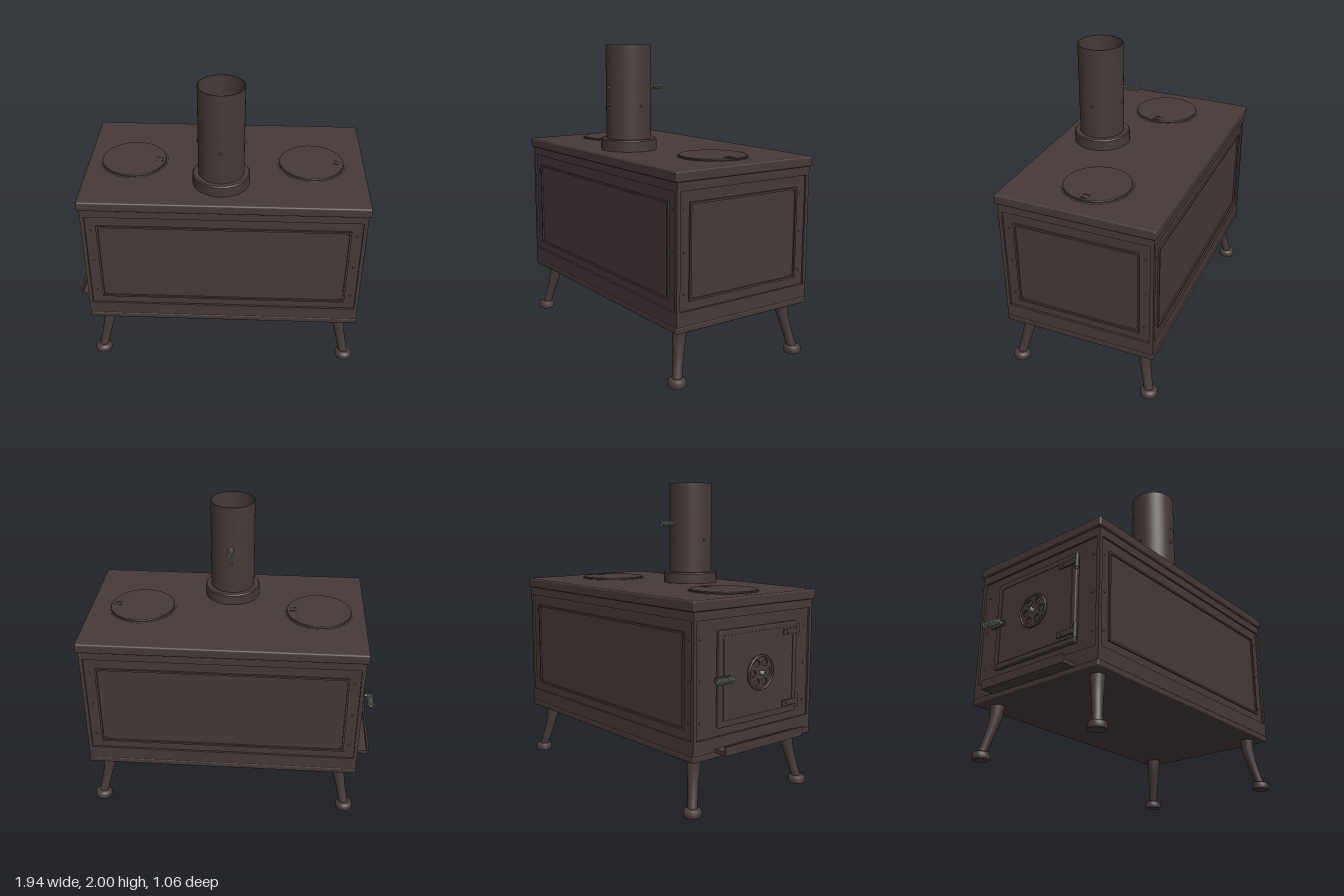
import * as THREE from 'three';
import { RoundedBoxGeometry } from 'three/addons/geometries/RoundedBoxGeometry.js';

const iron = new THREE.MeshStandardMaterial({ color: 0x463939 });
iron.name = 'cast iron';
iron.side = THREE.DoubleSide;
const steel = new THREE.MeshStandardMaterial({ color: 0x85857d });
steel.name = 'bare steel';

const CX = 0.04; // centre of the firebox in x

function add(parent, name, geo, x = 0, y = 0, z = 0, mat = iron) {
  const m = new THREE.Mesh(geo, mat);
  m.name = name;
  m.position.set(x, y, z);
  parent.add(m);
  return m;
}
const box = (w, h, d) => new THREE.BoxGeometry(w, h, d);
const rbox = (w, h, d, r) => new RoundedBoxGeometry(w, h, d, 3, r);
const lathe = (pts, n = 48) => new THREE.LatheGeometry(pts.map(p => new THREE.Vector2(...p)), n);

// Rectangular frame in the xy plane, from z = 0 to z = depth
function frameGeo(w, y0, y1, holeW, h0, h1, depth) {
  const rect = (P, hw, a, b) => {
    const p = new P();
    p.moveTo(-hw, a); p.lineTo(hw, a); p.lineTo(hw, b); p.lineTo(-hw, b); p.closePath();
    return p;
  };
  const s = rect(THREE.Shape, w / 2, y0, y1);
  s.holes.push(rect(THREE.Path, holeW / 2, h0, h1));
  return new THREE.ExtrudeGeometry(s, { depth, bevelEnabled: false });
}

function rivet(parent, x, y, z, r = 0.008) {
  add(parent, 'rivet', new THREE.SphereGeometry(r, 10, 6), x, y, z).scale.z = 0.6;
}

// One wall: outer rails, and a moulded panel unless it carries the door
function wall(parent, name, w, angle, x, z, panel) {
  const g = new THREE.Group();
  g.name = name;
  g.position.set(x, 0, z);
  g.rotation.y = angle;
  parent.add(g);
  add(g, 'rails', frameGeo(w, 0.385, 1.245, w - 0.05, 0.475, 1.19, 0.015), 0, 0, -0.015);
  if (panel) {
    const pw = w - 0.19;
    add(g, 'panelMoulding', frameGeo(pw, 0.53, 1.12, pw - 0.026, 0.543, 1.107, 0.014), 0, 0, -0.016);
    for (const sx of [-1, 1]) for (const y of [0.55, 1.1]) rivet(g, sx * (pw / 2 - 0.02), y, -0.013);
  }
  for (const sx of [-1, 1]) for (const y of [0.58, 0.83, 1.08]) rivet(g, sx * (w / 2 - 0.06), y, -0.013);
  return g;
}

// Coil grip along z
function coil(length, radius, turns) {
  const pts = [];
  for (let i = 0; i <= turns * 10; i++) {
    const a = i / 10 * Math.PI * 2;
    pts.push(new THREE.Vector3(Math.cos(a) * radius, Math.sin(a) * radius, (i / (turns * 10) - 0.5) * length));
  }
  return new THREE.TubeGeometry(new THREE.CatmullRomCurve3(pts), turns * 12, 0.005, 6);
}

// Curved, tapering leg swept through round sections: [y, outward offset, radius]
function legGeo() {
  const rows = [[0.35, 0, 0.046], [0.28, 0.002, 0.042], [0.2, 0.016, 0.035], [0.12, 0.034, 0.031], [0.03, 0.055, 0.031]];
  const g = new THREE.CylinderGeometry(1, 1, 1, 20, rows.length - 1, true);
  const p = g.attributes.position;
  for (let i = 0; i < p.count; i++) {
    const [y, off, r] = rows[Math.round((0.5 - p.getY(i)) * (rows.length - 1))];
    p.setXYZ(i, p.getX(i) * r + off, y, p.getZ(i) * r + off);
  }
  g.computeVertexNormals();
  return g;
}

function buildDoor(parent) {
  const d = new THREE.Group(); // local +z points out of the wall
  d.name = 'door';
  d.position.set(-0.875, 0, 0);
  d.rotation.y = -Math.PI / 2;
  parent.add(d);
  add(d, 'doorPlate', rbox(0.68, 0.59, 0.032, 0.008), 0.01, 0.825, 0.006);
  add(d, 'doorMoulding', frameGeo(0.62, 0.56, 1.09, 0.595, 0.572, 1.078, 0.006), 0.01, 0, 0.02);

  // Air wheel with openings around the hub
  const s = new THREE.Shape().absarc(0, 0, 0.11, 0, Math.PI * 2);
  for (let i = 0; i < 6; i++) {
    const a = i * Math.PI / 3;
    const h = new THREE.Path();
    h.absarc(Math.cos(a) * 0.067, Math.sin(a) * 0.067, 0.022, 0, Math.PI * 2);
    s.holes.push(h);
  }
  add(d, 'airWheel', new THREE.ExtrudeGeometry(s, { depth: 0.012, bevelEnabled: false, curveSegments: 24 }), 0.01, 0.83, 0.022);
  add(d, 'airWheelRim', new THREE.TorusGeometry(0.105, 0.007, 8, 40), 0.01, 0.83, 0.034);
  const hub = add(d, 'airKnob', lathe([[0, 0], [0.018, 0], [0.012, 0.012], [0.017, 0.022], [0, 0.03]], 20), 0.01, 0.83, 0.032, steel);
  hub.rotation.x = Math.PI / 2;

  // Hinges
  for (const y of [0.6, 1.06]) {
    add(d, 'hingeStrap', box(0.13, 0.035, 0.012), 0.28, y, 0.026);
    add(d, 'hingeBarrel', new THREE.CylinderGeometry(0.013, 0.013, 0.09, 16), 0.352, y, 0.02);
    add(d, 'hingePin', new THREE.CylinderGeometry(0.007, 0.007, 0.11, 12), 0.352, y, 0.02, steel);
    rivet(d, 0.25, y, 0.033);
  }
  // Latch and coil handle
  add(d, 'latchPlate', box(0.12, 0.035, 0.012), -0.31, 0.83, 0.026);
  const stem = add(d, 'latchStem', new THREE.CylinderGeometry(0.009, 0.009, 0.05, 12), -0.27, 0.83, 0.045, steel);
  stem.rotation.x = Math.PI / 2;
  const rod = add(d, 'handleRod', new THREE.CylinderGeometry(0.01, 0.01, 0.14, 12), -0.325, 0.83, 0.07, steel);
  rod.rotation.z = Math.PI / 2;
  add(d, 'handleCoil', coil(0.12, 0.017, 8), -0.33, 0.83, 0.07, steel).rotation.y = Math.PI / 2;
}

function buildFlue(parent) {
  const f = new THREE.Group();
  f.name = 'flue';
  f.position.set(0.018, 0, 0.24);
  parent.add(f);
  add(f, 'collar', lathe([[0.148, 1.31], [0.187, 1.31], [0.187, 1.31], [0.187, 1.378], [0.187, 1.378], [0.18, 1.386], [0.18, 1.386], [0.148, 1.386]]));
  add(f, 'pipe', new THREE.CylinderGeometry(0.149, 0.149, 0.69, 48, 1, true), 0, 1.655);
  add(f, 'pipeLining', new THREE.CylinderGeometry(0.144, 0.144, 0.69, 48, 1, true), 0, 1.655);
  add(f, 'pipeRim', new THREE.RingGeometry(0.144, 0.149, 48), 0, 2).rotation.x = -Math.PI / 2;
  add(f, 'pipeJoint', new THREE.CylinderGeometry(0.1505, 0.1505, 0.008, 48, 1, true), 0, 1.61);
  for (let i = 0; i < 4; i++) {
    const a = i * Math.PI / 2;
    add(f, 'jointScrew', new THREE.SphereGeometry(0.009, 10, 8), Math.cos(a) * 0.15, 1.61, Math.sin(a) * 0.15);
  }
  // Damper
  const disc = add(f, 'damperDisc', new THREE.CylinderGeometry(0.142, 0.142, 0.008, 40), 0, 1.72);
  disc.rotation.z = 0.7;
  const rod = add(f, 'damperRod', new THREE.CylinderGeometry(0.006, 0.006, 0.42, 12), 0, 1.72, -0.05, steel);
  rod.rotation.x = Math.PI / 2;
  add(f, 'damperGrip', coil(0.1, 0.016, 7), 0, 1.72, -0.22, steel);
}

export function createModel() {
  const stove = new THREE.Group();
  stove.name = 'stove';

  // Firebox
  add(stove, 'firebox', box(1.804, 0.88, 1.004), CX, 0.805);
  add(stove, 'basePlate', rbox(1.835, 0.04, 1.035, 0.008), CX, 0.366);
  add(stove, 'topPlate', rbox(1.86, 0.066, 1.06, 0.012), CX, 1.278);
  wall(stove, 'frontWall', 1.83, 0, CX, 0.515, true);
  wall(stove, 'backWall', 1.83, Math.PI, CX, -0.515, true);
  wall(stove, 'leftWall', 1.03, Math.PI / 2, CX + 0.915, 0, true);
  wall(stove, 'doorWall', 1.03, -Math.PI / 2, CX - 0.915, 0, false);
  buildDoor(stove);

  // Ash shelf below the door
  add(stove, 'ashShelf', box(0.1, 0.025, 0.68), -0.92, 0.393);
  add(stove, 'ashShelfLip', box(0.014, 0.055, 0.68), -0.963, 0.41);

  // Cooking lids with lifter sockets
  for (const x of [-0.582, 0.616]) {
    add(stove, 'lidSeat', lathe([[0.219, 1.31], [0.229, 1.31], [0.229, 1.31], [0.227, 1.314], [0.219, 1.314]], 64), x, 0, -0.005);
    add(stove, 'lid', lathe([[0.218, 1.305], [0.218, 1.319], [0.218, 1.319], [0.214, 1.323], [0.214, 1.323], [0, 1.323]], 64), x, 0, -0.005);
    const socket = add(stove, 'lidSocket', frameGeo(0.052, -0.024, 0.024, 0.038, -0.017, 0.017, 0.004), x + 0.172, 1.322, 0);
    socket.rotation.x = -Math.PI / 2;
    add(stove, 'lifterBar', box(0.014, 0.004, 0.04), x + 0.182, 1.324, 0);
  }

  buildFlue(stove);

  // Splayed legs with round feet
  for (const sx of [-1, 1]) for (const sz of [-1, 1]) {
    const leg = new THREE.Group();
    leg.name = 'leg';
    leg.position.set(CX + sx * 0.805, 0, sz * 0.415);
    leg.rotation.y = sx > 0 ? (sz > 0 ? 0 : Math.PI / 2) : (sz > 0 ? -Math.PI / 2 : Math.PI);
    add(leg, 'legShaft', legGeo());
    add(leg, 'foot', lathe([[0, 0], [0.054, 0], [0.054, 0], [0.058, 0.008], [0.058, 0.03], [0.05, 0.045], [0.032, 0.05], [0, 0.05]], 28), 0.055, 0, 0.055);
    stove.add(leg);
  }
  return stove;
}
